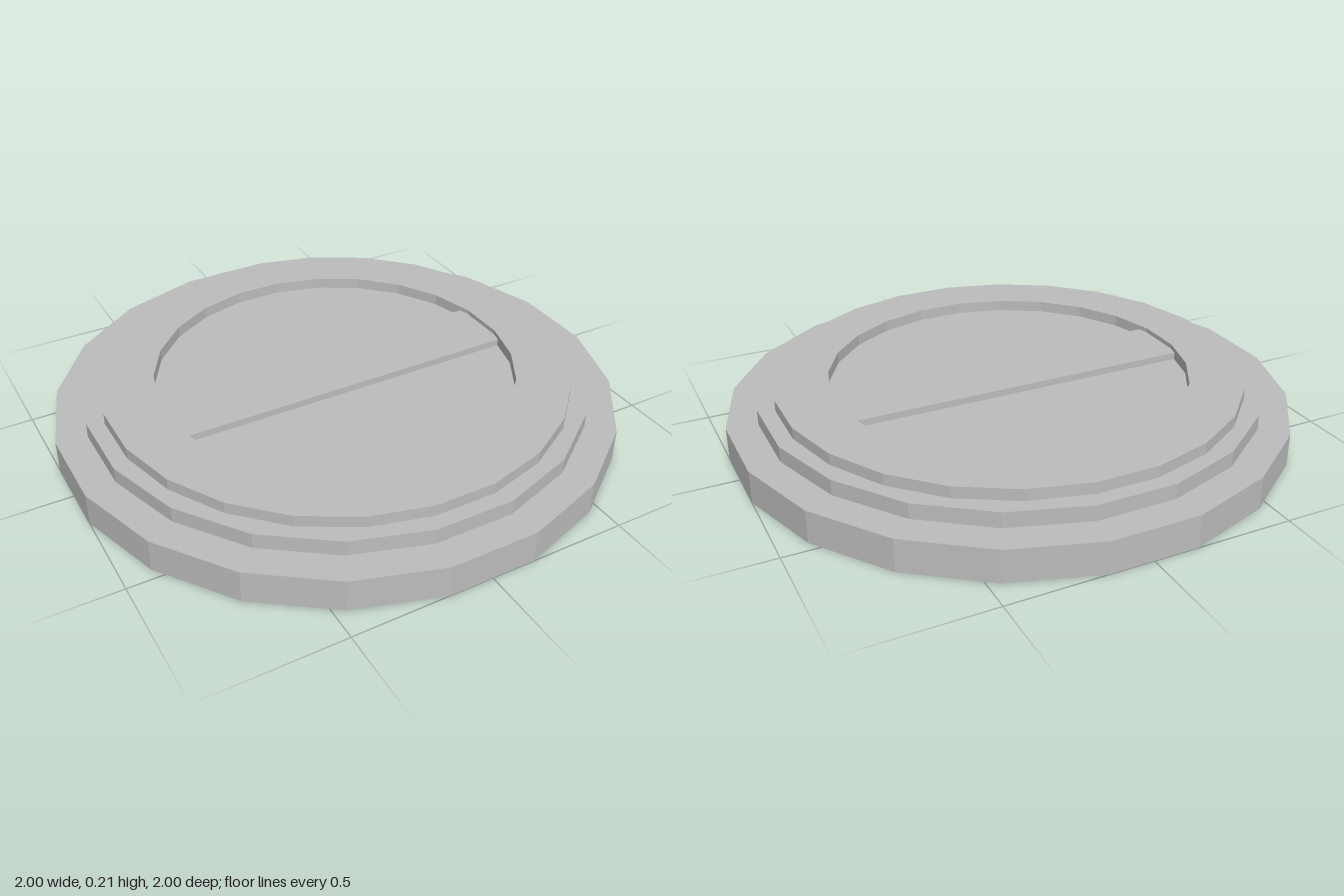
import * as THREE from 'three';

const metal = new THREE.MeshStandardMaterial({ color: 0xbcbcbc, flatShading: true });
metal.name = 'plain grey';

export function createModel() {
  const group = new THREE.Group();
  group.name = 'steppedDisc';

  const add = (name, geometry, y = 0) => {
    const mesh = new THREE.Mesh(geometry, metal);
    mesh.name = name;
    mesh.position.y = y;
    group.add(mesh);
  };

  // Faceted disc with flat sides facing the axes; apothem is the distance to a side
  const disc = (name, apothem, bottom, top, sides) => {
    const r = apothem / Math.cos(Math.PI / sides);
    const geometry = new THREE.CylinderGeometry(r, r, top - bottom, sides, 1, false, Math.PI / sides);
    add(name, geometry, (top + bottom) / 2);
  };

  // Two stacked steps
  disc('base', 1, 0, 0.117, 20);
  disc('middleStep', 0.891, 0.117, 0.172, 20);

  // Raised rim around the recess: outer wall, top and inner wall
  const rimProfile = [[0.842, 0.172], [0.842, 0.213], [0.65, 0.213], [0.65, 0.172]]
    .map(([x, y]) => new THREE.Vector2(x, y));
  add('rim', new THREE.LatheGeometry(rimProfile, 24, Math.PI / 24));

  // Grip bar across the recess, its ends meeting the rim
  add('gripBar', new THREE.BoxGeometry(1.286, 0.025, 0.25), 0.1845);

  return group;
}
